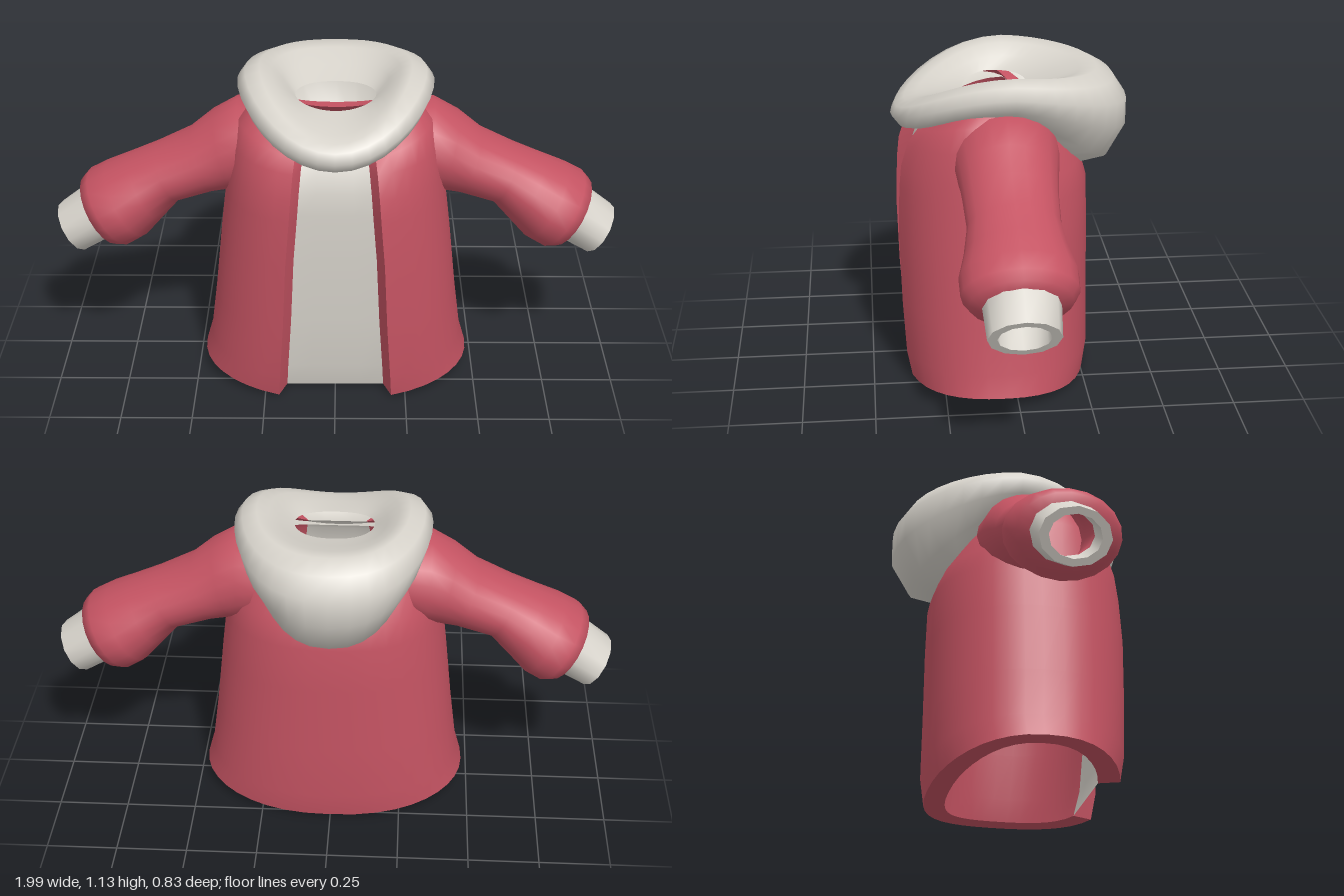
import * as THREE from 'three';

const red = new THREE.MeshStandardMaterial({ color: 0xc45362, side: THREE.DoubleSide });
red.name = 'red cloth';
const fleece = new THREE.MeshStandardMaterial({ color: 0xd6d2ca, side: THREE.DoubleSide });
fleece.name = 'pale fleece';

const lerp = THREE.MathUtils.lerp;

// Surface through a grid of points: point(i, j) gives [x, y, z]; wrap closes it along i
function surface(name, material, nu, nv, point, wrap = false) {
  const pos = [], index = [];
  const cols = wrap ? nu : nu + 1;
  for (let j = 0; j <= nv; j++) for (let i = 0; i < cols; i++) pos.push(...point(i, j));
  for (let j = 0; j < nv; j++) {
    for (let i = 0; i < nu; i++) {
      const k = (i + 1) % cols;
      const a = j * cols + i, b = j * cols + k, c = a + cols, d = b + cols;
      index.push(a, b, d, a, d, c);
    }
  }
  const g = new THREE.BufferGeometry();
  g.setAttribute('position', new THREE.Float32BufferAttribute(pos, 3));
  g.setIndex(index);
  g.computeVertexNormals();
  const mesh = new THREE.Mesh(g, material);
  mesh.name = name;
  return mesh;
}

// Body levels: y, half width, front z, back z, half opening, side lift, thickness
const levels = [
  [0.005, 0.48, 0.382, -0.27, 0.2, 0.045, 0.075],
  [0.1, 0.457, 0.402, -0.285, 0.195, 0.03, 0.07],
  [0.3, 0.435, 0.412, -0.282, 0.182, 0, 0.065],
  [0.55, 0.408, 0.418, -0.28, 0.17, 0, 0.06],
  [0.72, 0.387, 0.41, -0.275, 0.156, 0, 0.055],
  [0.8, 0.378, 0.4, -0.25, 0.15, 0, 0.05],
  [0.88, 0.362, 0.372, -0.2, 0.142, 0.025, 0.05],
  [0.92, 0.335, 0.335, -0.15, 0.135, 0.07, 0.045],
  [0.95, 0.28, 0.27, -0.1, 0.13, 0.085, 0.045],
];
const N = 36, E = 0.87;

// Point on the coat wall, running from one front edge round the back to the other
function wall(i, j, inner) {
  const [y, w, f, b, open, lift, thick] = levels[j];
  const t = inner ? thick : 0;
  const hx = w - t, zf = f - t, zb = b + t;
  const edge = open - (inner ? 0.027 : 0);
  const a0 = Math.asin((edge / hx) ** (1 / E));
  const a = lerp(a0, 2 * Math.PI - a0, i / N);
  const s = Math.sin(a), c = Math.cos(a);
  const x = hx * Math.sign(s) * Math.abs(s) ** E;
  const z = (zf + zb) / 2 + (zf - zb) / 2 * Math.sign(c) * Math.abs(c) ** E;
  return [x, y + lift * s * s, z];
}

function makeBody() {
  const body = new THREE.Group();
  body.name = 'coatBody';
  const top = levels.length - 1;
  body.add(surface('outerWall', red, N, top, (i, j) => wall(i, j, false)));
  body.add(surface('lining', red, N, top, (i, j) => wall(N - i, j, true)));
  body.add(surface('hem', red, N, 1, (i, j) => wall(i, 0, j === 0)));
  body.add(surface('neckEdge', red, N, 1, (i, j) => wall(i, top, j === 1)));
  body.add(surface('leftFrontEdge', red, 1, top, (i, j) => wall(0, j, i === 0)));
  body.add(surface('rightFrontEdge', red, 1, top, (i, j) => wall(N, j, i === 1)));
  // Pale panel between the two inner edges
  body.add(surface('frontPanel', fleece, 4, top, (i, j) => {
    const p = wall(N, j, true);
    return [lerp(p[0], -p[0], i / 4), p[1], p[2]];
  }));
  return body;
}

// Rings across the arm: x, y, slope, radius, depth radius
const sleeveRings = [
  [0.27, 0.87, 0.3, 0.165, 0.185],
  [0.335, 0.857, -0.05, 0.162, 0.178],
  [0.395, 0.832, -0.25, 0.142, 0.168],
  [0.47, 0.794, -0.36, 0.116, 0.16],
  [0.595, 0.744, -0.42, 0.105, 0.154],
  [0.675, 0.688, -0.5, 0.126, 0.17],
  [0.745, 0.638, -0.53, 0.145, 0.192],
  [0.805, 0.604, -0.55, 0.148, 0.19],
  [0.84, 0.587, -0.55, 0.132, 0.166],
  [0.852, 0.58, -0.55, 0.095, 0.12],
];
const cuffRings = [
  [0.82, 0.605, -0.55, 0.104, 0.128],
  [0.948, 0.52, -0.55, 0.094, 0.118],
];
const cuffHole = [
  [0.948, 0.52, -0.55, 0.07, 0.086],
  [0.84, 0.59, -0.55, 0.072, 0.09],
];

function tube(name, material, rings, side, sides) {
  return surface(name, material, sides, rings.length - 1, (i, j) => {
    const [x, y, slope, r, rz] = rings[j];
    const a = side * i / sides * 2 * Math.PI;
    const up = r * Math.cos(a);
    return [side * (x - up * Math.sin(slope)), y + up * Math.cos(slope), 0.032 + rz * Math.sin(a)];
  }, true);
}

function makeArm(side) {
  const arm = new THREE.Group();
  arm.name = side > 0 ? 'leftArm' : 'rightArm';
  arm.add(tube('sleeve', red, sleeveRings, side, 20));
  arm.add(tube('cuff', fleece, cuffRings, side, 12));
  arm.add(tube('cuffRim', fleece, [cuffRings[1], cuffHole[0]], side, 12));
  arm.add(tube('cuffInside', fleece, cuffHole, side, 12));
  return arm;
}

// Collar profile from the neck hole over the rim to the base:
// front z, front y, side x, side y, back z, back y
const collarProfile = [
  [0.16, 1.03, 0.14, 1.045, -0.065, 1.045],
  [0.25, 1.024, 0.185, 1.085, -0.16, 1.07],
  [0.32, 1.012, 0.225, 1.122, -0.25, 1.1],
  [0.365, 1.0, 0.265, 1.138, -0.31, 1.107],
  [0.398, 0.98, 0.315, 1.122, -0.37, 1.07],
  [0.413, 0.945, 0.342, 1.085, -0.415, 1.0],
  [0.385, 0.908, 0.322, 1.035, -0.415, 0.9],
  [0.33, 0.902, 0.28, 1.0, -0.35, 0.78],
  [0.28, 0.91, 0.23, 0.99, -0.25, 0.75],
];

function makeCollar() {
  const n = 36;
  return surface('collar', fleece, n, collarProfile.length - 1, (i, j) => {
    const [zf, yf, xs, ys, zb, yb] = collarProfile[j];
    const a = -i / n * 2 * Math.PI;
    const s = Math.sin(a), c = Math.cos(a);
    const mid = j === 0 ? (zf + zb) / 2 : 0;
    const z = mid + (c > 0 ? zf - mid : mid - zb) * c;
    // The back hangs fuller than the front
    const x = xs * Math.sign(s) * Math.abs(s) ** (c > 0 ? 1 : 0.85);
    const y = c > 0 ? lerp(ys, yf, c * c) : lerp(ys, yb, (-c) ** 1.35);
    return [x, y, z];
  }, true);
}

export function createModel() {
  const coat = new THREE.Group();
  coat.name = 'coat';
  coat.add(makeBody(), makeArm(1), makeArm(-1), makeCollar());
  return coat;
}
